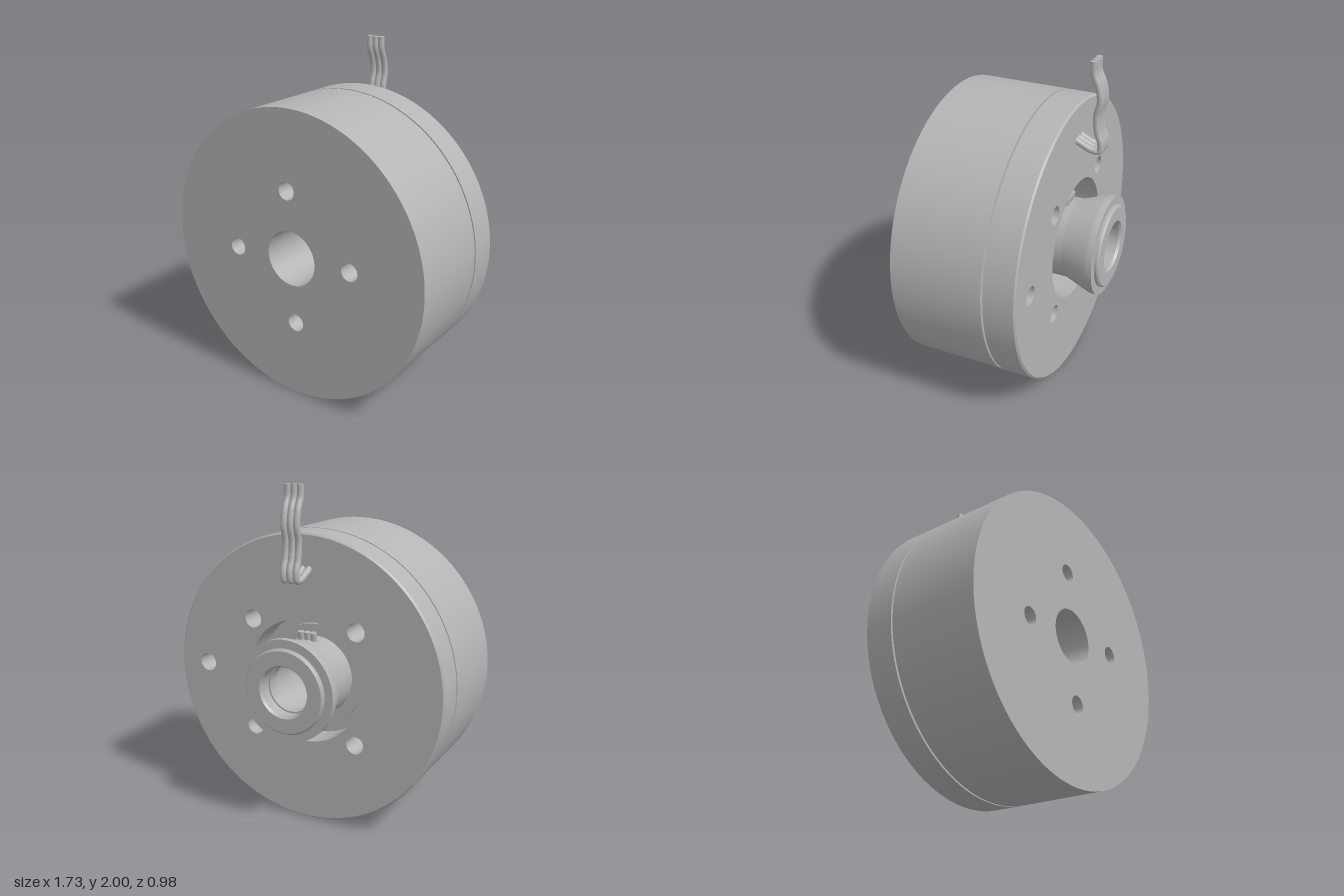
import * as THREE from 'three';
import { toCreasedNormals } from 'three/addons/utils/BufferGeometryUtils.js';

const CENTRE_Y = 0.865;
const R = 0.865;

export function createModel() {
  const model = new THREE.Group();
  const motor = new THREE.Group();
  motor.name = 'motor';
  motor.position.y = CENTRE_Y;
  model.add(motor);

  const grey = new THREE.MeshStandardMaterial({ color: 0xb4b4b4 });
  grey.name = 'grey metal';

  function add(name, geometry) {
    const mesh = new THREE.Mesh(geometry, grey);
    mesh.name = name;
    motor.add(mesh);
    return mesh;
  }

  // Closed [radius, z] profile, counter-clockwise, turned around the z axis
  function turned(name, profile) {
    const pts = [...profile, profile[0]].map(([r, z]) => new THREE.Vector2(r, z));
    const g = new THREE.LatheGeometry(pts, 96).rotateX(Math.PI / 2);
    return add(name, toCreasedNormals(g, 0.35));
  }

  // Disc between two z values with round holes [x, y, radius]
  function drilled(name, radius, z0, z1, holes) {
    const shape = new THREE.Shape().absarc(0, 0, radius, 0, Math.PI * 2);
    for (const [x, y, r] of holes) {
      shape.holes.push(new THREE.Path().absarc(x, y, r, 0, Math.PI * 2, true));
    }
    const g = new THREE.ExtrudeGeometry(shape, { depth: z1 - z0, bevelEnabled: false, curveSegments: 48 });
    g.translate(0, 0, z0);
    return add(name, toCreasedNormals(g, 0.35));
  }

  // Rotor: outer shell, drilled front plate and closed rear
  turned('rotorShell', [[0.8, -0.06], [R, -0.06], [R, 0.49], [0.8, 0.49]]);
  const frontHoles = [[0, 0, 0.165]];
  for (let i = 0; i < 4; i++) {
    const a = 0.06 + i * Math.PI / 2;
    frontHoles.push([0.4 * Math.cos(a), 0.4 * Math.sin(a), 0.053]);
  }
  drilled('rotorFrontPlate', 0.8, 0.33, 0.49, frontHoles);
  drilled('rotorCore', 0.8, -0.06, 0.33, [[0, 0, 0.165]]);

  // Base: chamfered rim and drilled plate around the central recess
  turned('baseRim', [[0.85, -0.26], [0.855, -0.26], [R, -0.25], [R, -0.072], [0.85, -0.072]]);
  const baseHoles = [[0, 0, 0.37], [0.67, 0.02, 0.054]];
  for (const x of [-0.335, 0.335]) {
    for (const y of [-0.335, 0.335]) baseHoles.push([x, y, 0.054]);
  }
  drilled('basePlate', 0.85, -0.26, -0.072, baseHoles);

  // Recess floor that bridges the gap to the rotor
  turned('recessFloor', [[0.165, -0.11], [0.31, -0.11], [0.31, -0.08], [0.37, -0.08], [0.37, -0.06], [0.165, -0.06]]);

  // Flared rear hub with a narrow lip in its bore
  turned('hub', [
    [0.155, -0.49], [0.24, -0.49], [0.25, -0.48], [0.25, -0.465],
    [0.3, -0.465], [0.3, -0.425], [0.24, -0.26], [0.24, -0.1],
    [0.165, -0.1], [0.165, -0.33], [0.14, -0.33], [0.14, -0.4], [0.15, -0.4], [0.145, -0.475],
  ]);

  // Three wires leaving the base, with short ends inside the recess
  const path = [
    [1.53, -0.25], [1.505, -0.3], [1.483, -0.355], [1.485, -0.395], [1.53, -0.4],
    [1.6, -0.378], [1.69, -0.37], [1.78, -0.388], [1.86, -0.375], [1.93, -0.347], [2.0, -0.345],
  ];
  function tube(name, points, segments) {
    const curve = new THREE.CatmullRomCurve3(points);
    add(name, new THREE.TubeGeometry(curve, segments, 0.019, 14));
    // Flat caps close both ends
    for (const t of [0, 1]) {
      const cap = add(name + 'End', new THREE.CircleGeometry(0.019, 14));
      const dir = curve.getTangent(t).multiplyScalar(t ? 1 : -1);
      cap.position.copy(curve.getPoint(t));
      cap.quaternion.setFromUnitVectors(new THREE.Vector3(0, 0, 1), dir);
    }
  }
  for (const x of [-0.04, 0, 0.04]) {
    tube('wire', path.map(([y, z]) => new THREE.Vector3(x, y - CENTRE_Y, z)), 64);
    tube('wireStub', [new THREE.Vector3(x, 0.22, -0.2), new THREE.Vector3(x, 0.285, -0.21)], 4);
  }

  return model;
}
